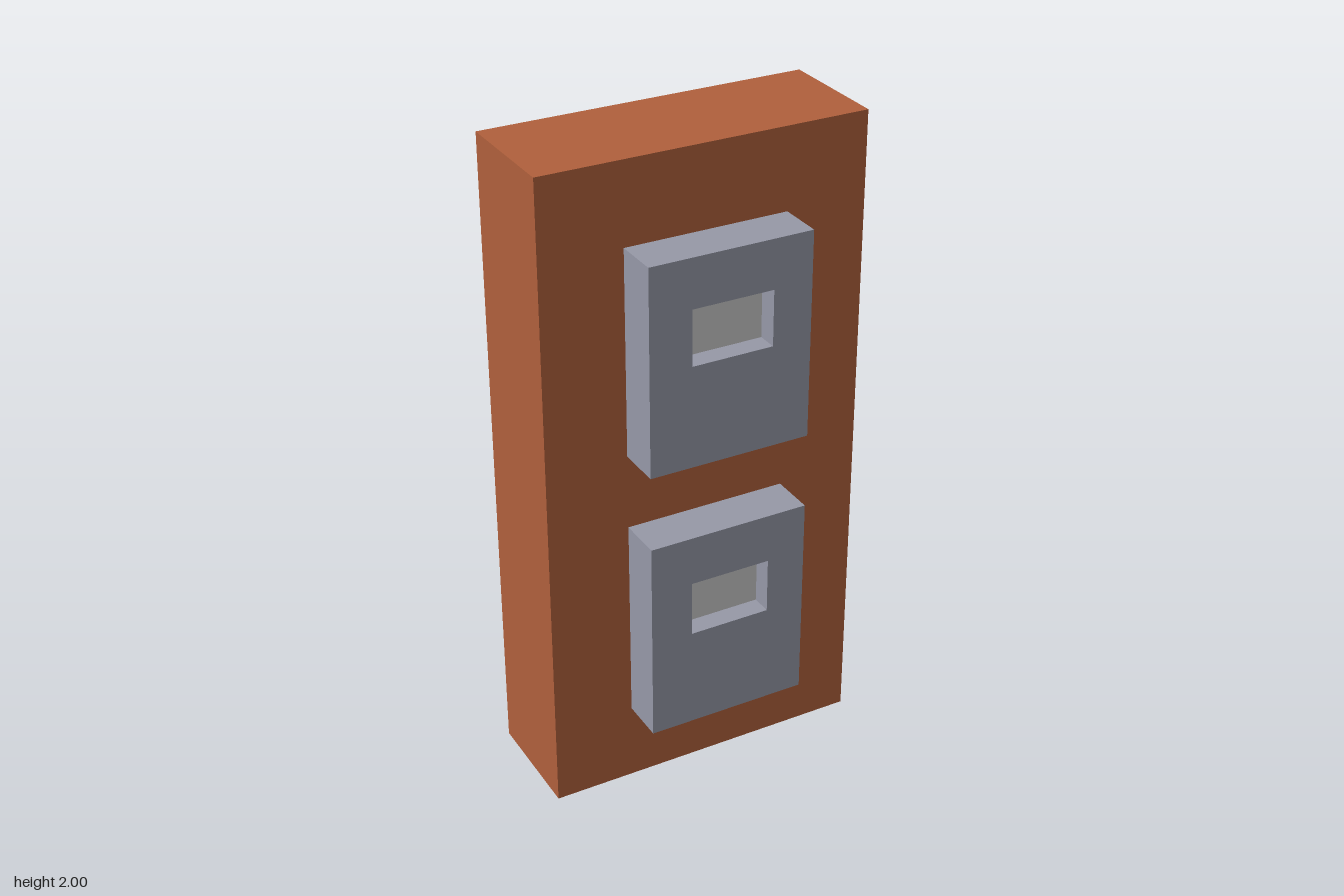
import * as THREE from 'three';

const material = (name, color, side = THREE.FrontSide) => {
  const m = new THREE.MeshStandardMaterial({ color, side });
  m.name = name;
  return m;
};

// Rectangle outline with optional rounded corners
function rect(Type, x0, y0, x1, y1, r = 0) {
  const s = new Type();
  if (!r) {
    s.moveTo(x0, y0).lineTo(x1, y0).lineTo(x1, y1).lineTo(x0, y1).closePath();
    return s;
  }
  s.absarc(x1 - r, y0 + r, r, -Math.PI / 2, 0);
  s.absarc(x1 - r, y1 - r, r, 0, Math.PI / 2);
  s.absarc(x0 + r, y1 - r, r, Math.PI / 2, Math.PI);
  s.absarc(x0 + r, y0 + r, r, Math.PI, Math.PI * 1.5);
  s.closePath();
  return s;
}

export function createModel() {
  const model = new THREE.Group();
  model.name = 'wallPanel';
  const orange = material('orange', 0xb0603c, THREE.DoubleSide);
  const grey = material('grey', 0x9698a7, THREE.DoubleSide);
  const pale = material('paleGrey', 0xc9c9c9, THREE.DoubleSide);
  const dark = material('darkGrey', 0x3b3b3e, THREE.DoubleSide);

  const FRONT = 0.11, BACK = -0.25, FACE = 0.25, SCREEN = 0.187;
  const add = (parent, name, geometry, mat, z = 0) => {
    const mesh = new THREE.Mesh(geometry, mat);
    mesh.name = name;
    mesh.position.z = z;
    parent.add(mesh);
    return mesh;
  };

  // Thin housing, open at the back: a box without its rear face
  const shell = new THREE.BoxGeometry(1, 2, FRONT - BACK);
  shell.setIndex(Array.from(shell.index.array).slice(0, 30));
  shell.clearGroups();
  add(model, 'housing', shell, orange, (FRONT + BACK) / 2).position.y = 1;

  // Two raised units, each with a recessed screen
  const units = [
    { name: 'upperUnit', y0: 1.12, y1: 1.753, w0: 1.433, w1: 1.603 },
    { name: 'lowerUnit', y0: 0.248, y1: 0.888, w0: 0.562, w1: 0.735 },
  ];
  for (const { name, y0, y1, w0, w1 } of units) {
    const unit = new THREE.Group();
    unit.name = name;
    model.add(unit);

    const block = rect(THREE.Shape, -0.25, y0, 0.25, y1);
    block.holes.push(rect(THREE.Path, -0.12, w0, 0.13, w1));
    add(unit, 'block', new THREE.ExtrudeGeometry(block,
      { depth: FACE - FRONT - 0.001, bevelEnabled: false }), grey, FRONT + 0.001);
    add(unit, 'screen', new THREE.ShapeGeometry(
      rect(THREE.Shape, -0.12, w0, 0.13, w1)), pale, SCREEN);

    // Painted patches on the inside of the front sheet
    add(unit, 'innerPatch', new THREE.ShapeGeometry(
      rect(THREE.Shape, -0.255, y0, 0.25, y1, 0.03)), grey, FRONT - 0.003);
    add(unit, 'innerWindow', new THREE.ShapeGeometry(
      rect(THREE.Shape, -0.12, w0 - 0.005, 0.13, w1, 0.04)), dark, FRONT - 0.006);
  }
  return model;
}
